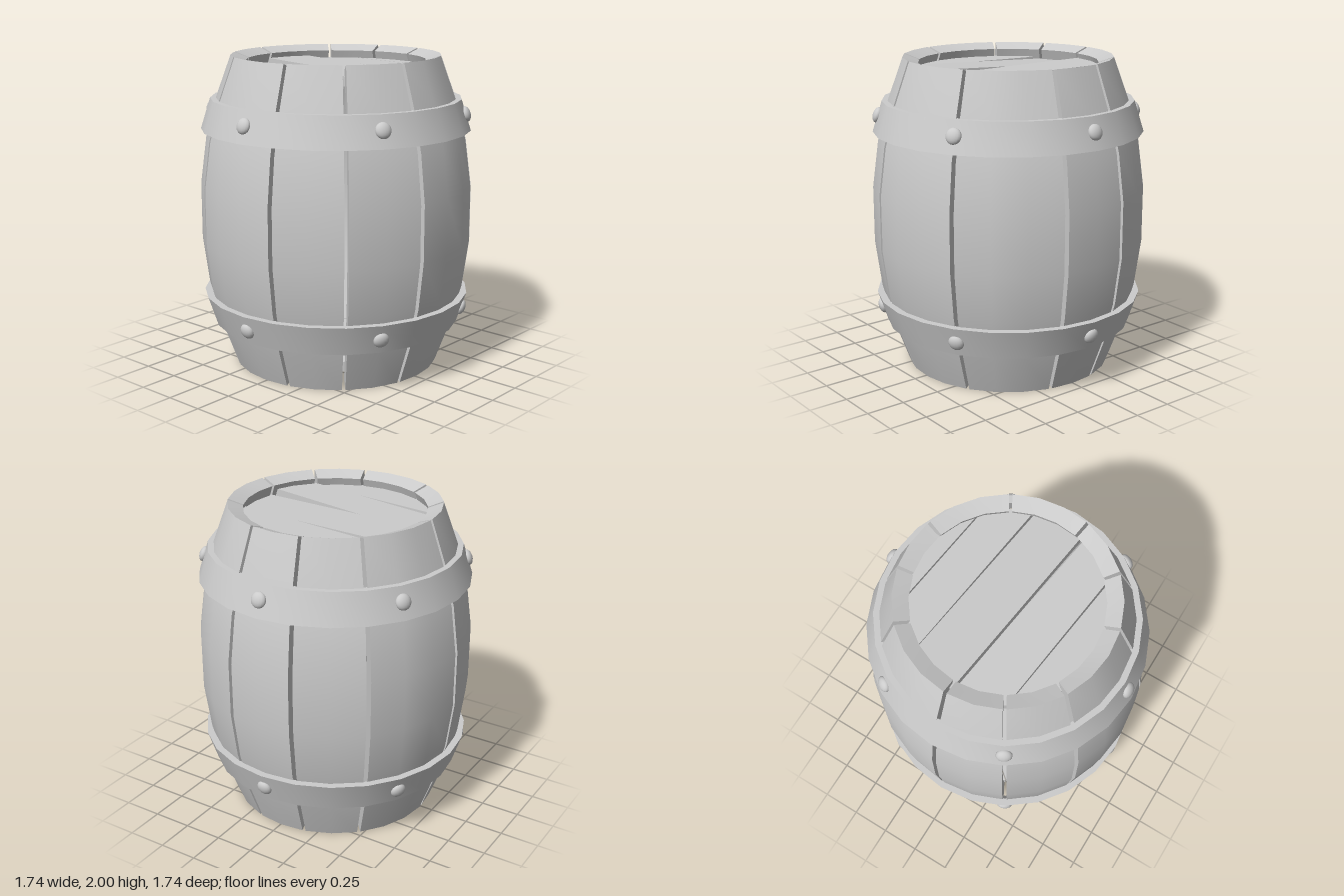
import * as THREE from 'three';
import { toCreasedNormals } from 'three/addons/utils/BufferGeometryUtils.js';

const DEG = Math.PI / 180;
const material = new THREE.MeshStandardMaterial({ color: 0xcccccc, side: THREE.DoubleSide });

// Sweep a wall section (outer and inner [radius, y] points, bottom to top) around y.
// Angles run from the back (-z) towards +x; partial sweeps get end caps.
function sweepWall(outer, inner, from, to, steps) {
  const loop = [...outer, ...inner.slice().reverse()];
  const L = loop.length;
  const positions = [];
  const point = (j, i) => {
    const a = (from + (to - from) * j / steps) * DEG;
    const [r, y] = loop[i % L];
    return [r * Math.sin(a), y, -r * Math.cos(a)];
  };
  const quad = (a, b, c, d) => positions.push(...a, ...b, ...c, ...a, ...c, ...d);
  for (let j = 0; j < steps; j++)
    for (let i = 0; i < L; i++)
      quad(point(j, i), point(j, i + 1), point(j + 1, i + 1), point(j + 1, i));
  if (to - from < 360) {
    for (let i = 0; i < outer.length - 1; i++) {
      quad(point(0, i), point(0, L - 1 - i), point(0, L - 2 - i), point(0, i + 1));
      quad(point(steps, i), point(steps, i + 1), point(steps, L - 2 - i), point(steps, L - 1 - i));
    }
  }
  const geometry = new THREE.BufferGeometry();
  geometry.setAttribute('position', new THREE.Float32BufferAttribute(positions, 3));
  return toCreasedNormals(geometry, 0.6);
}

// One lid board: a strip of a disc. Each edge is [offset at -x end, offset at +x end].
function lidBoard(low, high, radius, thickness) {
  const n = 8;
  const shape = new THREE.Shape();
  const side = (s, t) => {
    const k = s < 0 ? 0 : 1;
    const v = THREE.MathUtils.lerp(low[k], high[k], t);
    return new THREE.Vector2(s * Math.sqrt(Math.max(0, radius * radius - v * v)), v);
  };
  const points = [];
  for (let i = 0; i <= n; i++) points.push(side(1, i / n));
  for (let i = n; i >= 0; i--) points.push(side(-1, i / n));
  shape.setFromPoints(points);
  const geometry = new THREE.ExtrudeGeometry(shape, { depth: thickness, bevelEnabled: false });
  return geometry.rotateX(Math.PI / 2);
}

// A lid of boards split at the given gaps: [offset at -x, offset at +x, half width at -x, at +x]
function makeLid(name, gaps, topY, turn, tilts = []) {
  const R = 0.61;
  const lid = new THREE.Group();
  lid.name = name;
  const edges = [[-R, -R, 0, 0], ...gaps, [R, R, 0, 0]];
  for (let i = 0; i < edges.length - 1; i++) {
    const a = edges[i], b = edges[i + 1];
    const board = new THREE.Mesh(
      lidBoard([a[0] + a[2], a[1] + a[3]], [b[0] - b[2], b[1] - b[3]], R, 0.06), material);
    board.name = 'lidBoard';
    board.rotation.z = tilts[i] || 0;
    lid.add(board);
  }
  lid.position.y = topY;
  lid.rotation.y = turn;
  return lid;
}

export function createModel() {
  const barrel = new THREE.Group();
  barrel.name = 'barrel';

  // Bulging staves of uneven width, with ends cut square to their slope
  const outer = [[0.665, 0], [0.76, 0.26], [0.83, 0.52], [0.87, 0.82],
    [0.87, 1.18], [0.83, 1.48], [0.76, 1.74], [0.665, 2]];
  const inner = [[0.57, 0.035], [0.665, 0.295], [0.733, 0.54], [0.77, 0.83],
    [0.77, 1.17], [0.733, 1.46], [0.665, 1.705], [0.57, 1.965]];
  const gapAngles = [-14.5, 14.5, 60, 103, 135, 165.5, 209.5, 240, 270, 315, 345.5];
  const staves = new THREE.Group();
  staves.name = 'staves';
  for (let i = 0; i < gapAngles.length - 1; i++) {
    const from = gapAngles[i] + 0.9, to = gapAngles[i + 1] - 0.9;
    const steps = Math.max(2, Math.round((to - from) / 14));
    const stave = new THREE.Mesh(sweepWall(outer, inner, from, to, steps), material);
    stave.name = 'stave';
    staves.add(stave);
  }
  barrel.add(staves);

  // Flared hoops, each with six domed rivets
  const hoops = [
    { name: 'lowerHoop', section: [[0.8, 0.28], [0.862, 0.47]], y: 0.37, lean: 0.32 },
    { name: 'upperHoop', section: [[0.862, 1.535], [0.8, 1.73]], y: 1.64, lean: -0.32 },
  ];
  for (const { name, section, y, lean } of hoops) {
    const hoop = new THREE.Group();
    hoop.name = name;
    const back = section.map(([r, h]) => [r - 0.05, h]);
    const band = new THREE.Mesh(sweepWall(section, back, 0, 360, 24), material);
    band.name = 'band';
    hoop.add(band);
    for (let k = 0; k < 6; k++) {
      const pivot = new THREE.Group();
      pivot.rotation.y = k * Math.PI / 3;
      const rivet = new THREE.Mesh(new THREE.SphereGeometry(0.05, 16, 10), material);
      rivet.name = 'rivet';
      rivet.position.set(0, y, 0.828);
      rivet.rotation.x = lean;
      rivet.scale.z = 0.6;
      pivot.add(rivet);
      hoop.add(pivot);
    }
    barrel.add(hoop);
  }

  // Recessed board lids at both ends, laid in different directions
  const g = 0.004;
  barrel.add(makeLid('topLid', [
    [-0.49, -0.49, g, g], [-0.24, -0.24, g, g], [0.08, 0.09, g, 0.016], [0.375, 0.375, g, g],
  ], 1.915, -0.117, [0, 0, -0.03, 0.03, 0]));
  barrel.add(makeLid('bottomLid', [
    [-0.47, -0.47, g, g], [-0.21, -0.21, g, g], [0.09, 0.09, g, g], [0.39, 0.39, g, g],
  ], 0.16, 0.88));

  return barrel;
}
